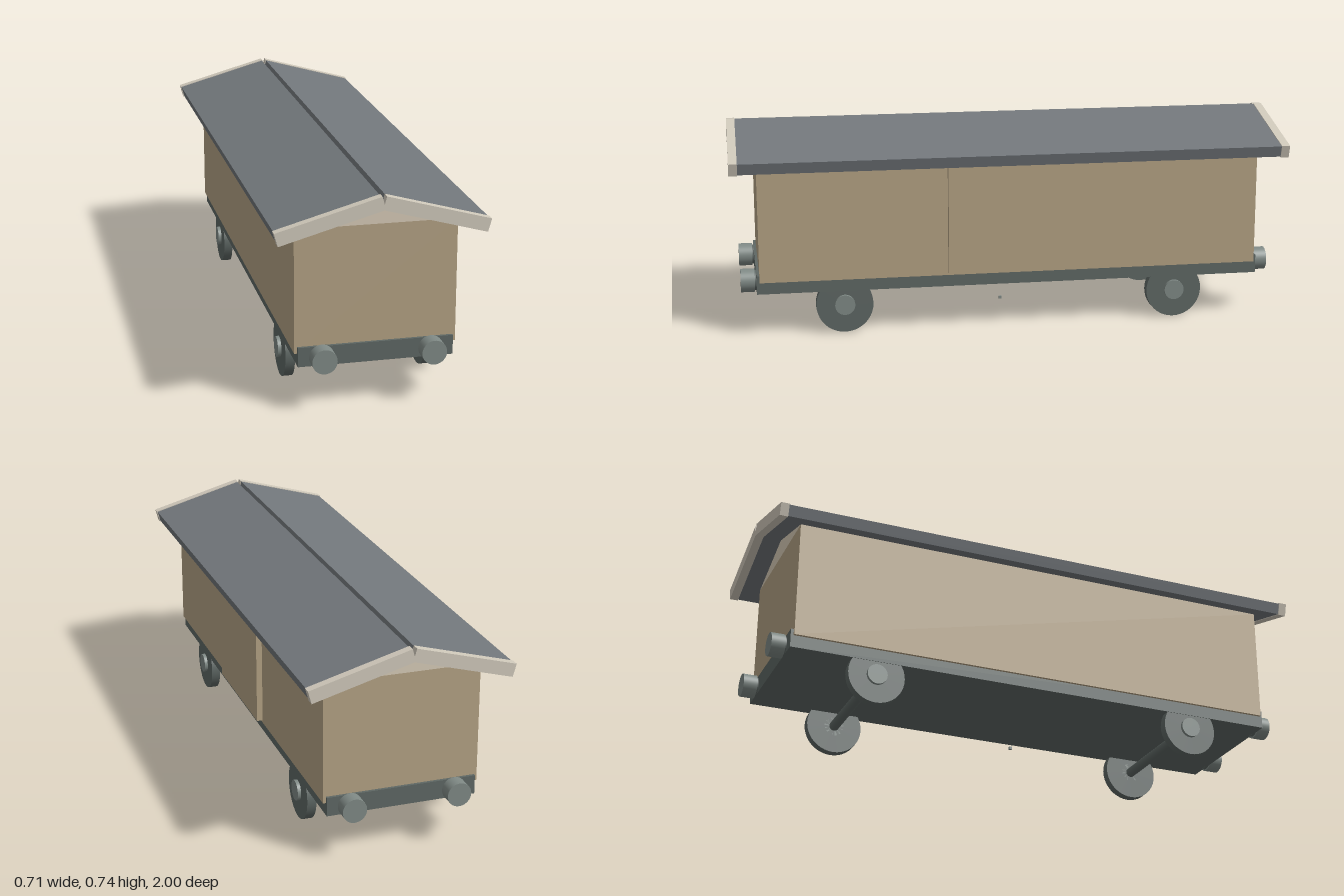
import * as THREE from 'three';

const mat = (color) => new THREE.MeshStandardMaterial({ color });

export function createModel() {
  const model = new THREE.Group();
  const wood = mat(0xb3a183), gableWood = mat(0xd6cab6), trim = mat(0xcfc8ba);
  const slate = mat(0x72777b), iron = mat(0x5e6764), steel = mat(0x7f8985);

  const add = (name, geometry, material, x = 0, y = 0, z = 0, parent = model) => {
    const mesh = new THREE.Mesh(geometry, material);
    mesh.name = name;
    mesh.position.set(x, y, z);
    parent.add(mesh);
    return mesh;
  };
  const box = (w, h, d) => new THREE.BoxGeometry(w, h, d);
  const rodX = (r, l) => new THREE.CylinderGeometry(r, r, l, 40).rotateZ(Math.PI / 2);
  const rodZ = (r, l) => new THREE.CylinderGeometry(r, r, l, 40).rotateX(Math.PI / 2);

  // Body, with a sliding door on the left side only
  add('body', box(0.544, 0.425, 1.81), wood, 0, 0.4095, 0);
  add('slidingDoor', box(0.023, 0.407, 0.466), wood, 0.2815, 0.4095, 0);

  // Gable prism filling the space under the roof
  const gable = new THREE.Shape([
    new THREE.Vector2(-0.272, 0.622),
    new THREE.Vector2(0.272, 0.622),
    new THREE.Vector2(0, 0.697),
  ]);
  add('gable', new THREE.ExtrudeGeometry(gable, { depth: 1.81, bevelEnabled: false }), gableWood, 0, 0, -0.905);

  // Two pitched roof panels, each finished with a barge board at both ends
  const pitch = Math.atan2(0.097, 0.347);
  for (const s of [-1, 1]) {
    const slope = new THREE.Group();
    slope.name = s > 0 ? 'leftRoofSlope' : 'rightRoofSlope';
    slope.position.set(s * 0.175, 0.6715, 0);
    slope.rotation.z = -s * pitch;
    model.add(slope);
    add('roofPanel', box(0.356, 0.041, 1.95), slate, 0, 0, 0, slope);
    for (const e of [-1, 1]) {
      add('bargeBoard', box(0.361, 0.046, 0.03), trim, 0, 0, e * 0.985, slope);
    }
  }

  // Underframe
  add('underframe', box(0.524, 0.067, 1.83), iron, 0, 0.1865, 0);

  // Buffers, axles and wheels at each end
  for (const e of [-1, 1]) {
    for (const s of [-1, 1]) {
      add('bufferShank', rodZ(0.036, 0.02), iron, s * 0.184, 0.186, e * 0.918);
      add('bufferHead', rodZ(0.042, 0.05), steel, s * 0.184, 0.186, e * 0.945);
      add('wheel', rodX(0.102, 0.033), iron, s * 0.2435, 0.102, e * 0.605);
      add('wheelHub', rodX(0.036, 0.045), steel, s * 0.2495, 0.102, e * 0.605);
    }
    add('axle', rodX(0.018, 0.48), iron, 0, 0.102, e * 0.605);
  }

  // Tiny block low under the middle of the floor
  add('centreBlock', box(0.01, 0.01, 0.01), steel, 0, 0.025, 0);

  return model;
}
